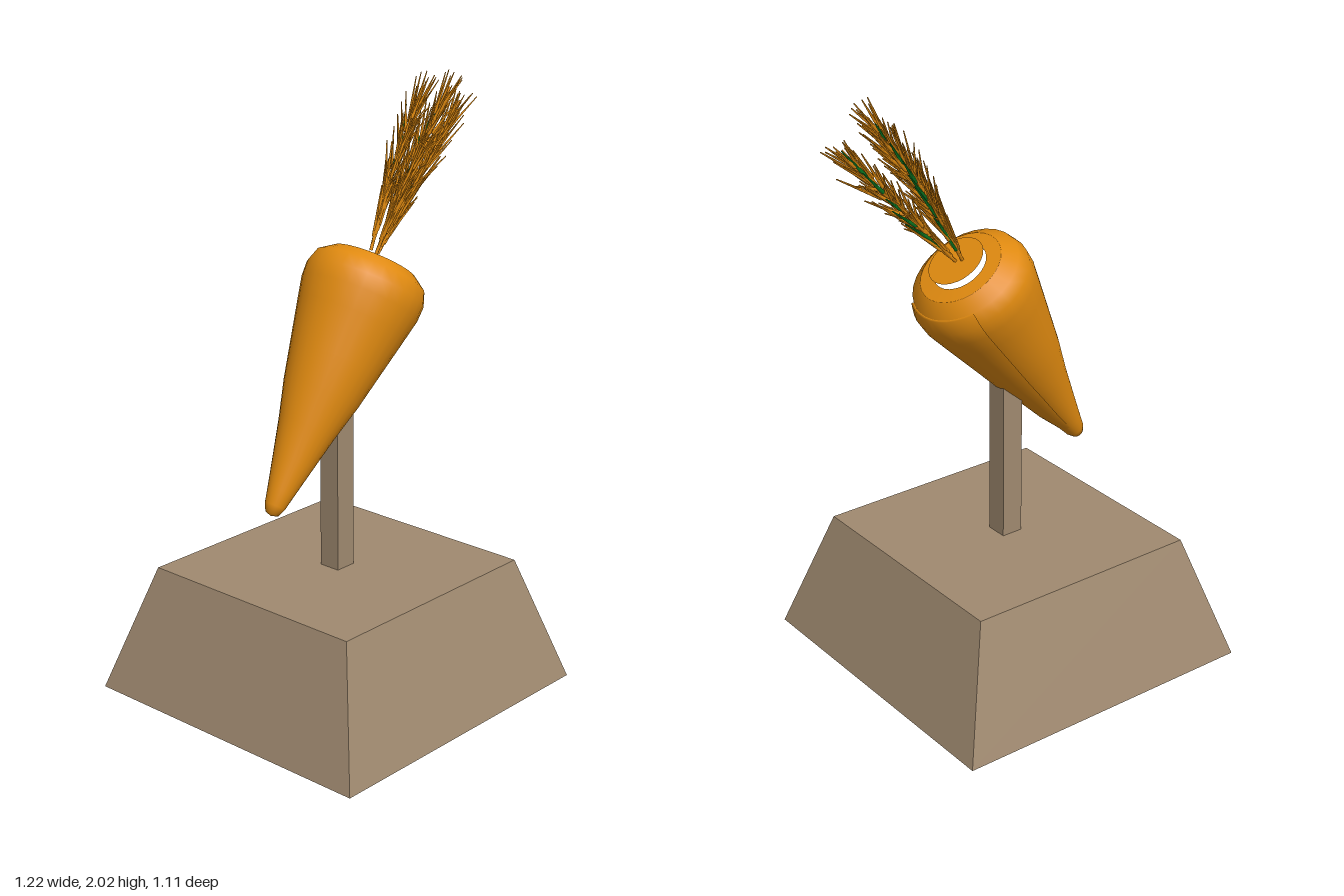
import * as THREE from 'three';
import { mergeGeometries } from 'three/addons/utils/BufferGeometryUtils.js';

const UP = new THREE.Vector3(0, 1, 0);

// small seeded random generator
function seeded(seed) {
  let s = seed;
  return () => {
    s = (s * 16807) % 2147483647;
    return s / 2147483647;
  };
}

// thin tapered needle between two points
function needle(from, to, radius) {
  const dir = to.clone().sub(from);
  const geo = new THREE.CylinderGeometry(radius * 0.3, radius, dir.length(), 4, 1);
  geo.applyQuaternion(new THREE.Quaternion().setFromUnitVectors(UP, dir.clone().normalize()));
  const mid = from.clone().add(to).multiplyScalar(0.5);
  return geo.translate(mid.x, mid.y, mid.z);
}

export function createModel() {
  const model = new THREE.Group();
  const orange = new THREE.MeshStandardMaterial({ color: 0xe08a10 });
  const stone = new THREE.MeshStandardMaterial({ color: 0xa08a70 });
  const green = new THREE.MeshStandardMaterial({ color: 0x0a7a22 });
  orange.name = 'carrotOrange';
  stone.name = 'stoneBrown';
  green.name = 'leafGreen';

  const add = (parent, name, geo, mat) => {
    const mesh = new THREE.Mesh(geo, mat);
    mesh.name = name;
    parent.add(mesh);
    return mesh;
  };

  // tapered square pedestal: a box with its top corners pulled in
  const base = new THREE.BoxGeometry(1.106, 0.43, 1.106).translate(0, 0.215, 0);
  const pos = base.attributes.position;
  for (let i = 0; i < pos.count; i++) {
    if (pos.getY(i) > 0.2) {
      pos.setX(i, pos.getX(i) * 0.756);
      pos.setZ(i, pos.getZ(i) * 0.756);
    }
  }
  base.computeVertexNormals();
  add(model, 'pedestal', base, stone).position.x = -0.047;

  // square post
  add(model, 'post', new THREE.BoxGeometry(0.076, 0.62, 0.076), stone).position.set(-0.047, 0.73, 0);

  // leaning root, turned around its own axis
  const root = new THREE.Group();
  root.name = 'carrotRoot';
  root.position.set(-0.356, 0.698, 0);
  root.rotation.z = -Math.atan2(0.557, 0.83);
  model.add(root);
  const profile = [
    [0, -0.004], [0.022, 0.004], [0.034, 0.03], [0.045, 0.08], [0.068, 0.18], [0.096, 0.3], [0.128, 0.42],
    [0.152, 0.53], [0.185, 0.68], [0.2, 0.75], [0.202, 0.8], [0.187, 0.845], [0.142, 0.878],
  ].map(([r, y]) => new THREE.Vector2(r, y));
  add(root, 'rootBody', new THREE.LatheGeometry(profile, 28), orange);

  // raised strip of skin along the underside
  const skin = profile.slice(4, 12).map((p) => new THREE.Vector2(p.x + 0.008, p.y));
  skin.unshift(profile[3].clone());
  skin.push(profile[11].clone());
  add(root, 'undersideSkin', new THREE.LatheGeometry(skin, 9, Math.PI / 2 - 0.5, 1.5), orange);

  // flat crown ring with a small disc hovering above its opening
  const ring = [new THREE.Vector2(0.142, 0.878), new THREE.Vector2(0.092, 0.882)];
  add(root, 'crownRing', new THREE.LatheGeometry(ring, 28), orange);
  const disc = new THREE.CircleGeometry(0.096, 28).rotateX(-Math.PI / 2).translate(0, 0.91, 0);
  add(root, 'crownDisc', disc, orange);

  // three feathery fronds made of needles along a curved stem
  const fronds = [
    { start: [0.12, 1.46, 0.02], bend: [0.24, 1.72, 0.05], tip: [0.43, 1.96, 0.06] },
    { start: [0.15, 1.45, 0.0], bend: [0.34, 1.66, 0.0], tip: [0.56, 1.89, 0.0] },
    { start: [0.14, 1.46, -0.02], bend: [0.28, 1.70, -0.06], tip: [0.47, 1.94, -0.08] },
  ];
  fronds.forEach((f, index) => {
    const rand = seeded(137 + index * 911);
    const [a, b, c] = [f.start, f.bend, f.tip].map((p) => new THREE.Vector3(...p));
    const stem = new THREE.QuadraticBezierCurve3(a, b, c);
    const orangeParts = [new THREE.TubeGeometry(stem, 8, 0.006, 5)];
    const greenParts = [];
    for (let i = 0; i < 80; i++) {
      const t = 0.04 + 0.88 * (i / 80);
      const along = stem.getTangent(t);
      const spread = 0.05 * Math.min(1, 0.2 + t * 2) * (t > 0.75 ? 0.7 : 1);
      const angle = i * 2.4;
      const out = new THREE.Vector3(Math.cos(angle) * 0.83, -Math.cos(angle) * 0.557, Math.sin(angle) * 0.75);
      const from = stem.getPoint(t).addScaledVector(out, spread * 0.35 * rand());
      const length = Math.min(0.08 + 0.09 * rand(), 0.045 + (1 - t) * 0.6);
      const to = from.clone().addScaledVector(along, length).addScaledVector(out, spread * (0.5 + 0.6 * rand()));
      (i % 13 === 5 ? greenParts : orangeParts).push(needle(from, to, 0.0065));
    }
    const frond = new THREE.Group();
    frond.name = 'frond' + (index + 1);
    model.add(frond);
    add(frond, 'orangeNeedles', mergeGeometries(orangeParts), orange);
    add(frond, 'greenNeedles', mergeGeometries(greenParts), green);
  });

  return model;
}
